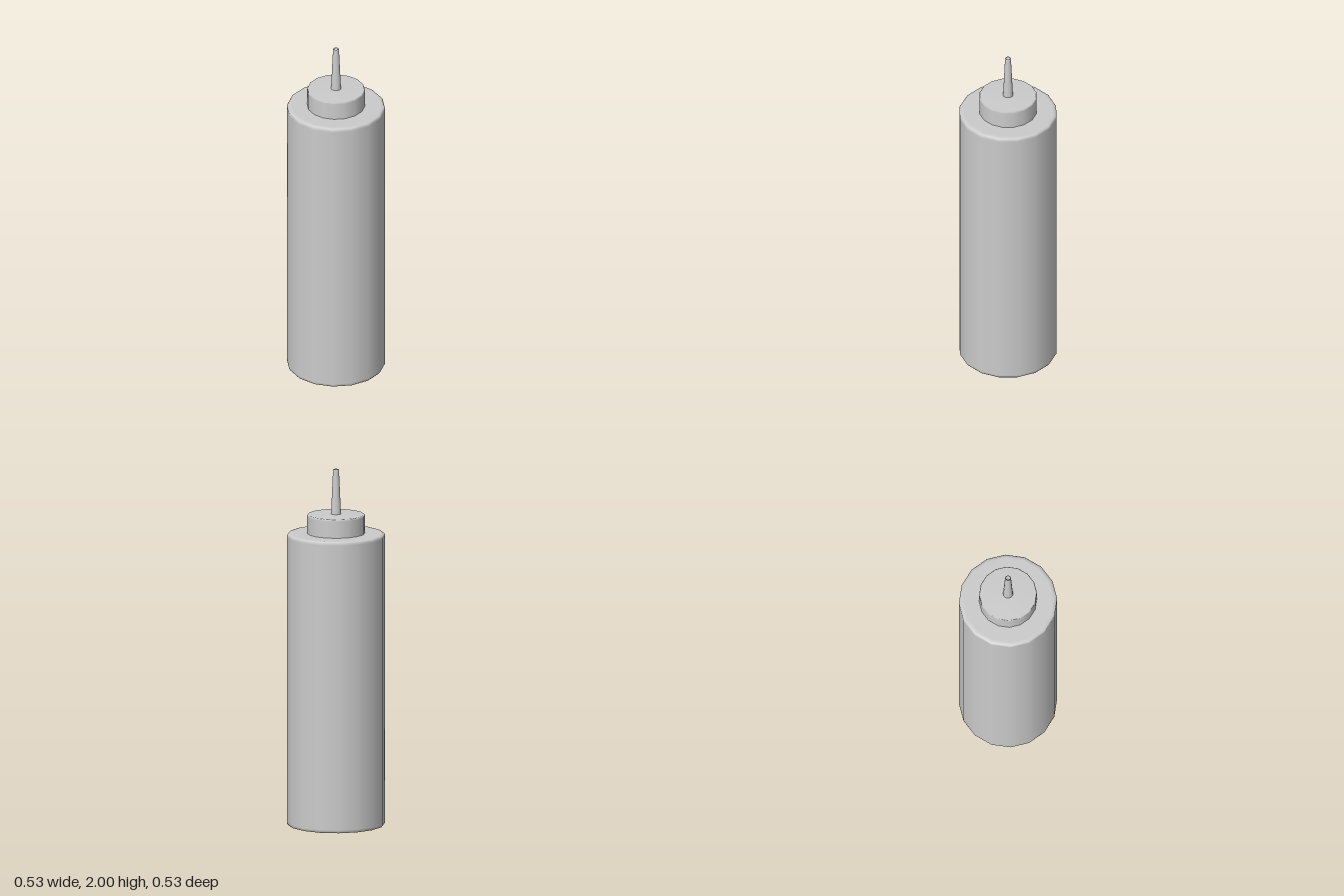
import * as THREE from 'three';

const SIDES = 16;

// Turn a [radius, height] profile, listed from bottom to top, with a flat side facing front
function turned(name, profile, material) {
  const points = profile.map(([r, y]) => new THREE.Vector2(r, y));
  const geometry = new THREE.LatheGeometry(points, SIDES, Math.PI / SIDES);
  const mesh = new THREE.Mesh(geometry, material);
  mesh.name = name;
  return mesh;
}

export function createModel() {
  const group = new THREE.Group();
  group.name = 'squeezeBottle';
  const grey = new THREE.MeshStandardMaterial({ color: 0xcccccc });

  // Tall body with a slightly recessed base and softly bevelled rims
  group.add(turned('body', [
    [0, 0.008], [0.235, 0.008], [0.245, 0.006], [0.255, 0], [0.266, 0.002],
    [0.272, 0.01], [0.272, 0.02],
    [0.272, 1.62], [0.272, 1.63], [0.267, 1.638], [0.255, 1.641], [0.245, 1.641], [0, 1.641],
  ], grey));

  // Screw cap with a soft top edge
  group.add(turned('cap', [
    [0.16, 1.635], [0.16, 1.645], [0.16, 1.735], [0.16, 1.742], [0.156, 1.747], [0, 1.749],
  ], grey));

  // Tapered nozzle with a small opening at the tip
  group.add(turned('nozzle', [
    [0.028, 1.74], [0.027, 1.76], [0.017, 1.985], [0.016, 1.996], [0.014, 2],
    [0.012, 1.998], [0.011, 1.985], [0, 1.985],
  ], grey));

  return group;
}
